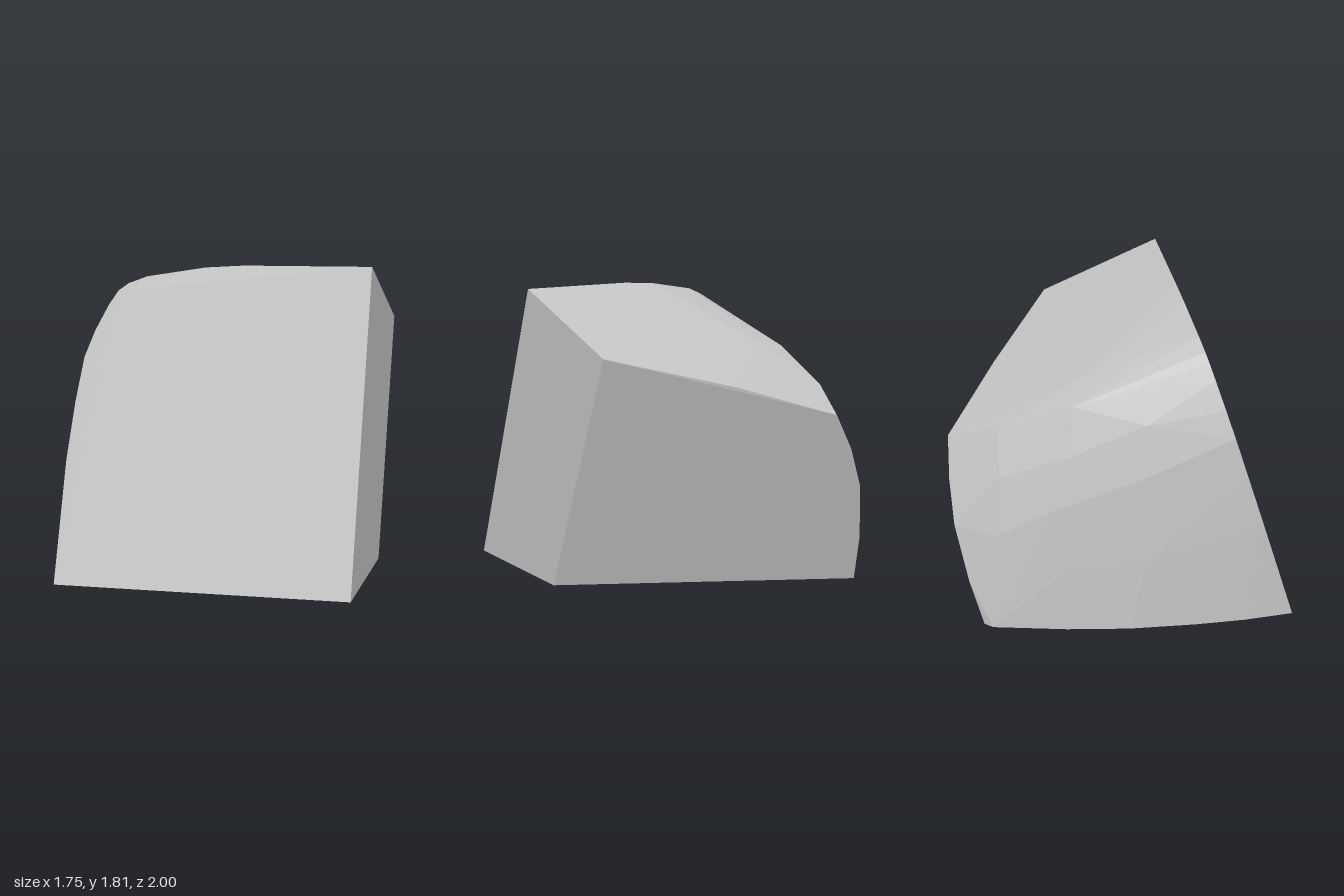
import * as THREE from 'three';
import { ConvexGeometry } from 'three/addons/geometries/ConvexGeometry.js';

// The front face is a leaning plane, so depth follows from height.
const onFront = ([x, y]) => [x, y, 1.005 - 0.334 * y];

// Outline of the front face, with one rounded shoulder.
const front = [
  [-0.86, 0.025], [0.84, 0.08], [0.83, 1.81], [0.1, 1.81], [-0.13, 1.797],
  [-0.48, 1.743], [-0.59, 1.703], [-0.65, 1.66], [-0.7, 1.58], [-0.77, 1.43],
  [-0.82, 1.28], [-0.847, 1.03], [-0.865, 0.7],
].map(onFront);

// Outline of the slanted back face.
const back = [
  [0.87, 0.07, 0.17], [0.865, 1.48, -0.33], [0.225, 1.3, -0.695], [-0.3, 1.115, -0.99],
  [-0.43, 0.9, -1], [-0.542, 0.65, -0.99], [-0.635, 0.3, -0.93], [-0.684, 0.003, -0.86],
];

// Curved lower edge of the left side.
const leftFoot = [
  [-0.72, 0.002, -0.81], [-0.8, 0.004, -0.37], [-0.85, 0.01, 0], [-0.87, 0.014, 0.4], [-0.875, 0.02, 0.7],
];

// Cross-sections of the rounded shoulder, from front to back.
const shoulder = [
  [-0.44, 1.62, 0.1], [-0.62, 1.55, 0.1], [-0.73, 1.35, 0.1], [-0.8, 1.05, 0.08], [-0.84, 0.5, 0.1],
  [-0.4, 1.46, -0.28], [-0.6, 1.42, -0.29], [-0.69, 1.15, -0.33], [-0.74, 0.84, -0.41], [-0.78, 0.4, -0.4],
  [-0.48, 1.24, -0.71], [-0.59, 0.99, -0.71], [-0.665, 0.64, -0.755], [-0.7, 0.3, -0.76],
];

export function createModel() {
  const stone = new THREE.MeshStandardMaterial({ color: 0xc4c4c4 });
  stone.name = 'light grey stone';

  const points = [...front, ...back, ...leftFoot, ...shoulder].map((p) => new THREE.Vector3(...p));
  const block = new THREE.Mesh(new ConvexGeometry(points), stone);
  block.name = 'stoneBlock';

  const model = new THREE.Group();
  model.name = 'stoneFragment';
  model.add(block);
  return model;
}
